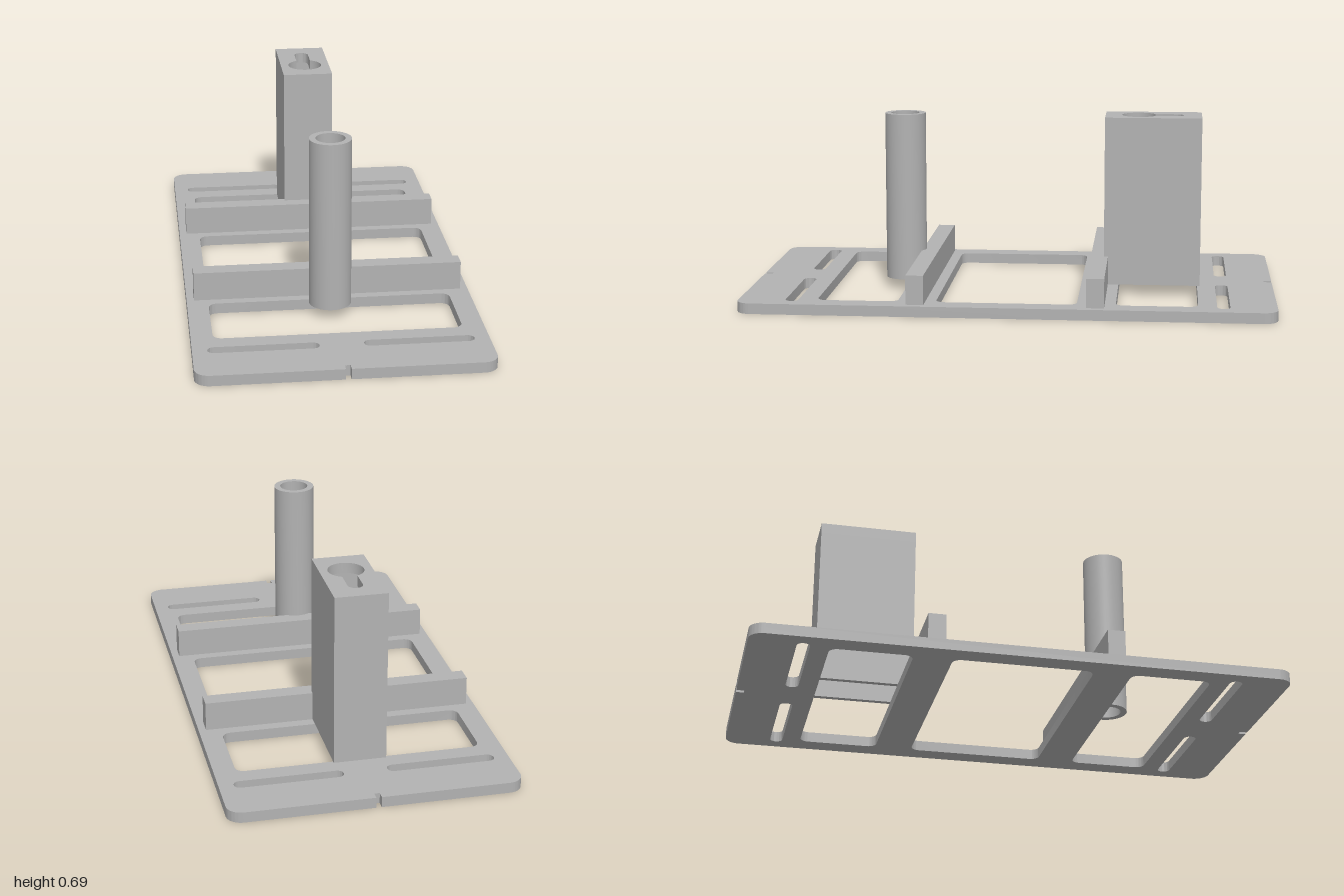
import * as THREE from 'three';
import { toCreasedNormals } from 'three/addons/utils/BufferGeometryUtils.js';

const grey = new THREE.MeshStandardMaterial({ color: 0xb2b2b2 });
grey.name = 'grey';

// Rounded rectangle in plan; plan y is -z
function roundRect(path, x0, x1, z0, z1, r) {
  const b = -z1, t = -z0;
  path.moveTo(x0 + r, b);
  path.lineTo(x1 - r, b);
  path.absarc(x1 - r, b + r, r, -Math.PI / 2, 0);
  path.lineTo(x1, t - r);
  path.absarc(x1 - r, t - r, r, 0, Math.PI / 2);
  path.lineTo(x0 + r, t);
  path.absarc(x0 + r, t - r, r, Math.PI / 2, Math.PI);
  path.lineTo(x0, b + r);
  path.absarc(x0 + r, b + r, r, Math.PI, Math.PI * 1.5);
  return path;
}

function rect(path, x0, x1, z0, z1) {
  path.moveTo(x0, -z1);
  path.lineTo(x1, -z1);
  path.lineTo(x1, -z0);
  path.lineTo(x0, -z0);
  path.closePath();
  return path;
}

// Extrude a plan shape upward from y0 to y1
function slab(name, shape, y0, y1) {
  const geo = new THREE.ExtrudeGeometry(shape, { depth: y1 - y0, bevelEnabled: false, curveSegments: 16 });
  geo.rotateX(-Math.PI / 2).translate(0, y0, 0);
  const mesh = new THREE.Mesh(toCreasedNormals(geo, 0.6), grey);
  mesh.name = name;
  return mesh;
}

export function createModel() {
  const group = new THREE.Group();
  group.name = 'mountingBracket';
  const T = 0.04, H = 0.69;

  // Base plate outline with a small notch in each end
  const W = 0.535, R = 0.055, n = 0.01, d = 0.03;
  const plate = new THREE.Shape();
  plate.moveTo(-W + R, -1);
  for (const [x, y] of [[-n, -1], [-n, -1 + d], [n, -1 + d], [n, -1], [W - R, -1]]) plate.lineTo(x, y);
  plate.absarc(W - R, -1 + R, R, -Math.PI / 2, 0);
  plate.lineTo(W, 1 - R);
  plate.absarc(W - R, 1 - R, R, 0, Math.PI / 2);
  for (const [x, y] of [[n, 1], [n, 1 - d], [-n, 1 - d], [-n, 1]]) plate.lineTo(x, y);
  plate.lineTo(-W + R, 1);
  plate.absarc(-W + R, 1 - R, R, Math.PI / 2, Math.PI);
  plate.lineTo(-W, -1 + R);
  plate.absarc(-W + R, -1 + R, R, Math.PI, Math.PI * 1.5);

  // Windows and screw slots
  for (const [z0, z1] of [[-0.71, -0.407], [-0.263, 0.261], [0.403, 0.706]])
    plate.holes.push(roundRect(new THREE.Path(), -0.455, 0.455, z0, z1, 0.033));
  for (const z of [-0.803, 0.8])
    for (const x of [-0.28, 0.28])
      plate.holes.push(roundRect(new THREE.Path(), x - 0.2, x + 0.2, z - 0.024, z + 0.024, 0.0235));
  group.add(slab('basePlate', plate, 0, T));

  // Cross ribs
  for (const [name, z] of [['rearRib', -0.333], ['frontRib', 0.333]]) {
    const rib = new THREE.Mesh(new THREE.BoxGeometry(1.014, 0.11, 0.066), grey);
    rib.position.set(0, T + 0.055, z);
    rib.name = name;
    group.add(rib);
  }

  // Round hollow post
  const ring = new THREE.Shape();
  ring.absarc(0, -0.431, 0.079, 0, Math.PI * 2);
  const bore = new THREE.Path();
  bore.absarc(0, -0.431, 0.055, 0, Math.PI * 2);
  ring.holes.push(bore);
  group.add(slab('roundPost', ring, T, H));

  // Hollow square post, open below, with a keyhole cap
  const px = 0.098, z0 = -0.72, z1 = -0.35, wall = 0.02, cap = 0.04;
  const walls = rect(new THREE.Shape(), -px, px, z0, z1);
  walls.holes.push(rect(new THREE.Path(), -px + wall, px - wall, z0 + wall, z1 - wall));
  const top = rect(new THREE.Shape(), -px, px, z0, z1);
  const key = new THREE.Path(), kr = 0.067, ks = 0.028, a = Math.acos(ks / kr);
  key.absarc(0, 0.48, kr, Math.PI - a, Math.PI * 2 + a);
  key.lineTo(ks, 0.65 - ks);
  key.absarc(0, 0.65 - ks, ks, 0, Math.PI);
  key.closePath();
  top.holes.push(key);
  const post = new THREE.Group();
  post.name = 'keyholePost';
  post.add(slab('postWalls', walls, T, H - cap), slab('keyholeCap', top, H - cap, H));
  group.add(post);

  return group;
}
